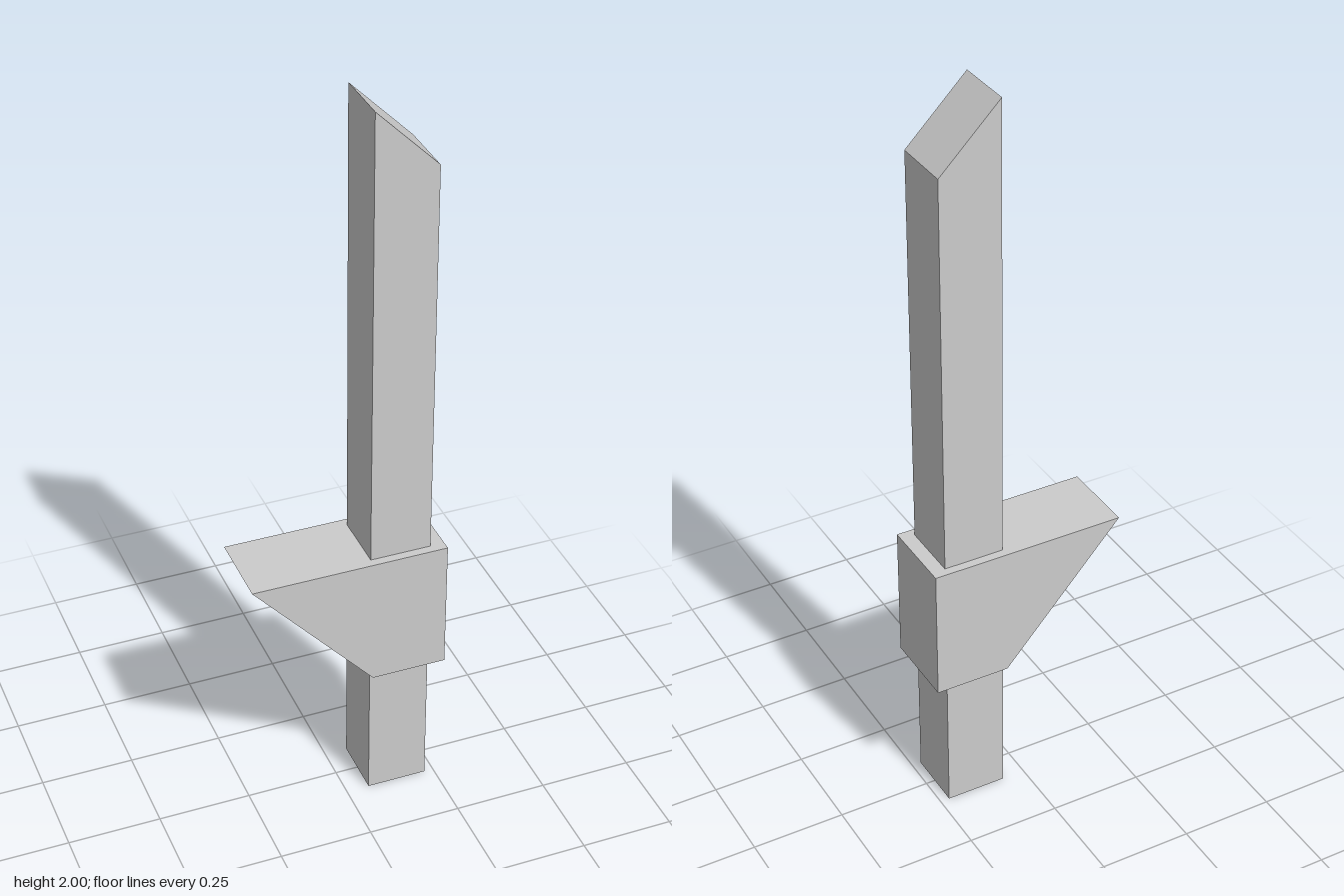
import * as THREE from 'three';

const material = new THREE.MeshStandardMaterial({ color: 0xcccccc, flatShading: true });

// Extrude an outline in x and y (anticlockwise), centred on z = 0
function slab(name, outline, depth) {
  const shape = new THREE.Shape(outline.map(([x, y]) => new THREE.Vector2(x, y)));
  const geometry = new THREE.ExtrudeGeometry(shape, { depth, bevelEnabled: false });
  geometry.translate(0, 0, -depth / 2);
  const mesh = new THREE.Mesh(geometry, material);
  mesh.name = name;
  return mesh;
}

export function createModel() {
  const model = new THREE.Group();
  model.name = 'slantedPost';

  const left = 0.225, right = 0.062;

  // Square post with a slanted top
  model.add(slab('post', [[right, 0], [left, 0], [left, 1.838], [right, 2]], 0.163));

  // Wedge-shaped collar around the post, reaching out to one side
  model.add(slab('collar', [[right, 0.394], [0.263, 0.394], [0.263, 0.758], [-0.263, 0.758]], 0.21));

  return model;
}
